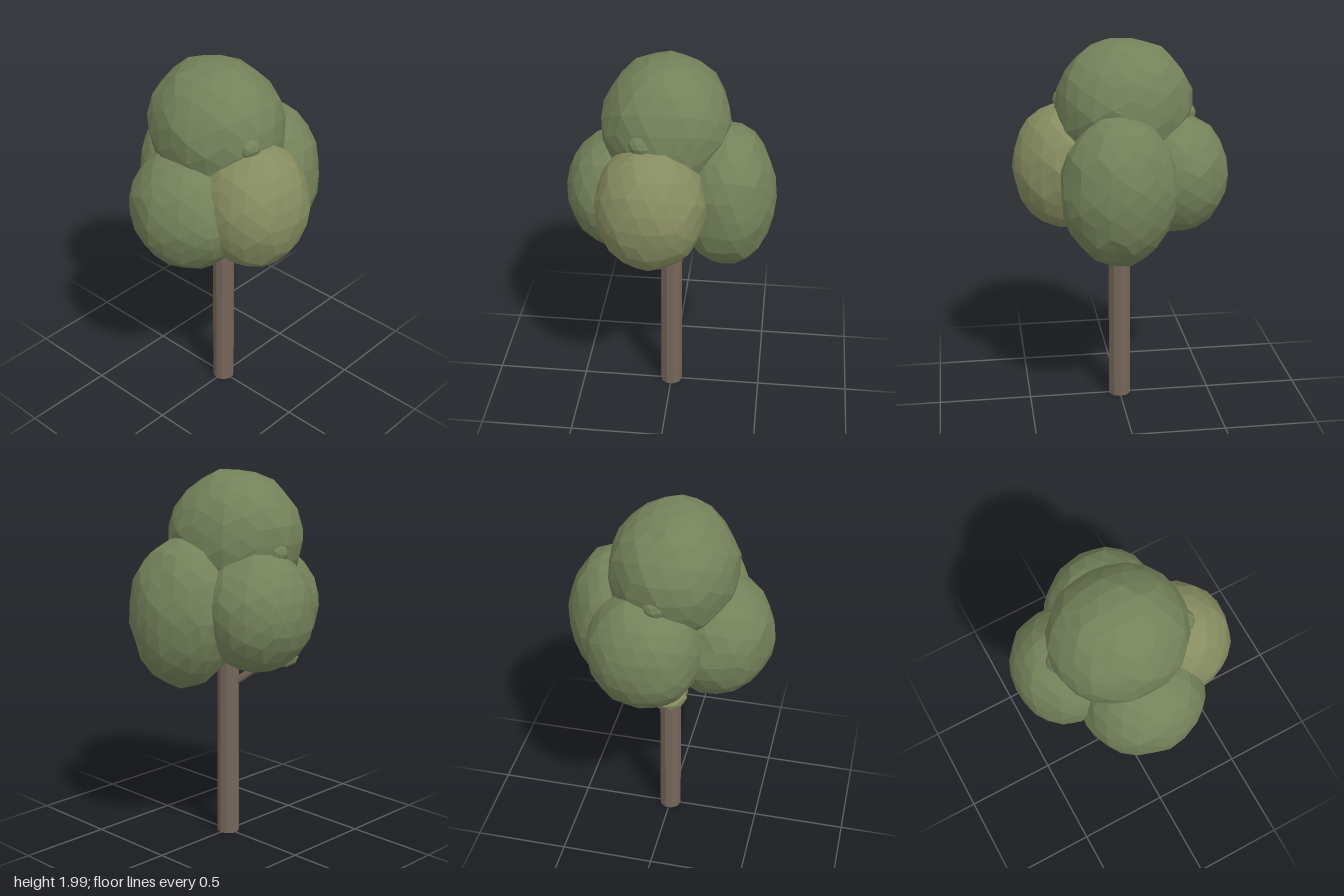
import * as THREE from 'three';

const leaf = new THREE.MeshStandardMaterial({ color: 0x74825a, flatShading: true });
const leafLight = new THREE.MeshStandardMaterial({ color: 0x868c60, flatShading: true });
const bark = new THREE.MeshStandardMaterial({ color: 0x75655a, flatShading: true });

// Repeatable value in 0..1 from a direction, so shared corners move together
function hash(v, seed) {
  const r = (n) => Math.round(n * 100);
  const s = Math.sin(r(v.x) * 12.9898 + r(v.y) * 78.233 + r(v.z) * 37.719 + seed * 4.1) * 43758.5453;
  return s - Math.floor(s);
}

// Faceted, slightly uneven ellipsoid of foliage
function clump(name, center, radii, material, seed, detail = 3) {
  const geo = new THREE.IcosahedronGeometry(1, detail);
  const pos = geo.attributes.position;
  const v = new THREE.Vector3();
  const size = new THREE.Vector3(...radii);
  for (let i = 0; i < pos.count; i++) {
    v.fromBufferAttribute(pos, i);
    const k = 0.985 + 0.045 * (hash(v, seed) - 0.5);
    v.multiplyScalar(k).multiply(size);
    pos.setXYZ(i, v.x, v.y, v.z);
  }
  geo.computeVertexNormals();
  const mesh = new THREE.Mesh(geo, material);
  mesh.name = name;
  mesh.position.set(...center);
  return mesh;
}

// Tapered limb between two points
function limb(name, from, to, r0, r1, sides) {
  const a = new THREE.Vector3(...from);
  const dir = new THREE.Vector3(...to).sub(a);
  const mesh = new THREE.Mesh(new THREE.CylinderGeometry(r1, r0, dir.length(), sides), bark);
  mesh.name = name;
  mesh.position.copy(a).addScaledVector(dir, 0.5);
  mesh.quaternion.setFromUnitVectors(new THREE.Vector3(0, 1, 0), dir.normalize());
  return mesh;
}

export function createModel() {
  const tree = new THREE.Group();
  tree.name = 'tree';

  // Trunk and the two forking branches
  tree.add(limb('trunk', [0, 0, 0], [0, 1.35, 0], 0.06, 0.058, 10));
  for (const [side, name] of [[1, 'leftBranch'], [-1, 'rightBranch']]) {
    tree.add(limb(name, [side * 0.035, 0.86, 0.02], [side * 0.28, 1.06, 0.14], 0.02, 0.018, 6));
  }

  // Main crown clumps
  tree.add(
    clump('topFoliage', [-0.025, 1.64, 0.025], [0.37, 0.365, 0.34], leaf, 1),
    clump('frontFoliage', [-0.005, 1.26, 0.25], [0.33, 0.33, 0.305], leaf, 2),
    clump('backFoliage', [0.04, 1.275, -0.29], [0.305, 0.4, 0.265], leaf, 3),
    clump('leftFoliage', [0.28, 1.32, 0.075], [0.285, 0.345, 0.29], leafLight, 4),
    clump('rightFoliage', [-0.285, 1.3, -0.07], [0.285, 0.325, 0.305], leaf, 5)
  );

  // Small tufts poking out between the clumps
  tree.add(
    clump('upperLeftTuft', [0.28, 1.665, 0.12], [0.06, 0.06, 0.065], leaf, 6, 1),
    clump('upperRightTuft', [-0.35, 1.6, 0], [0.055, 0.06, 0.06], leaf, 7, 1),
    clump('lowerRightTuft', [-0.32, 1.05, 0.06], [0.1, 0.06, 0.1], leafLight, 8, 1)
  );
  return tree;
}
